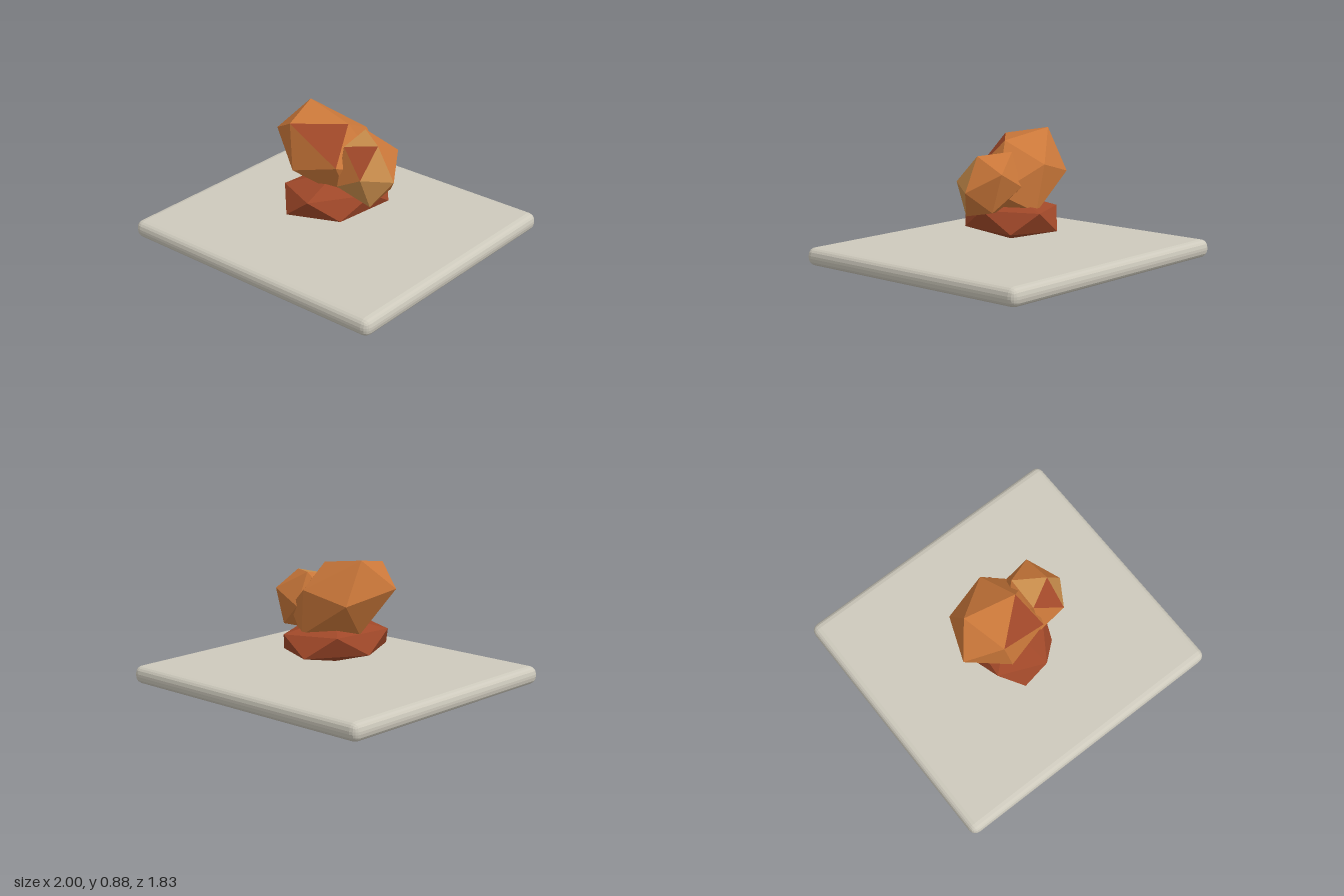
import * as THREE from 'three';
import { RoundedBoxGeometry } from 'three/addons/geometries/RoundedBoxGeometry.js';

function material(name, color) {
  const m = new THREE.MeshStandardMaterial({ color });
  m.name = name;
  return m;
}

// Skewed icosahedron: one pole and the five points around it; the other six are mirrored through the centre.
// paint: one material index per face, in the order caps, sides, mirrored caps, mirrored sides.
function rockGeometry(centre, pole, ring, paint) {
  const c = new THREE.Vector3(...centre);
  const local = (p) => new THREE.Vector3(...p).sub(c);
  const top = local(pole);
  const r = ring.map(local);
  const faces = [];
  for (const s of [1, -1]) {
    const at = (v, k) => v.clone().multiplyScalar(k);
    for (let i = 0; i < 5; i++) faces.push([at(top, s), at(r[i], s), at(r[(i + 1) % 5], s)]);
    for (let i = 0; i < 5; i++) faces.push([at(r[i], s), at(r[(i + 1) % 5], s), at(r[(i + 3) % 5], -s)]);
  }
  const points = [];
  const geometry = new THREE.BufferGeometry();
  faces.forEach(([a, b, d], i) => {
    // keep every face turned outward
    const normal = b.clone().sub(a).cross(d.clone().sub(a));
    points.push(...(normal.dot(a) > 0 ? [a, b, d] : [a, d, b]));
    geometry.addGroup(i * 3, 3, Number(paint[i]));
  });
  geometry.setFromPoints(points);
  geometry.computeVertexNormals();
  geometry.translate(c.x, c.y, c.z);
  return geometry;
}

export function createModel() {
  const model = new THREE.Group();
  model.name = 'rockPile';
  const stone = material('paleStone', 0xcdc9bc);
  const rockColours = [material('rust', 0xa04829), material('orange', 0xcb783a), material('ochre', 0xc78c4b)];

  function add(name, geometry, mat) {
    const mesh = new THREE.Mesh(geometry, mat);
    mesh.name = name;
    model.add(mesh);
  }

  // Base slab with faceted round edges
  const slab = new RoundedBoxGeometry(2, 0.122, 1.83, 2, 0.052);
  slab.computeVertexNormals();
  slab.translate(0, 0.061, 0);
  add('baseSlab', slab, stone);

  // Flat bottom rock, its ring lying on a slanted ellipse
  const ring = [];
  for (let i = 0; i < 5; i++) {
    const a = THREE.MathUtils.degToRad(80 - 72 * i);
    ring.push([0.293 * Math.cos(a), 0.379, 0.378 * Math.cos(a - THREE.MathUtils.degToRad(99))]);
  }
  add('bottomRock', rockGeometry([0, 0.31, 0], [0, 0.465, 0], ring, '0'.repeat(20)), rockColours);

  // Large upper rock
  add('largeRock', rockGeometry([-0.075, 0.597, -0.02], [-0.29, 0.88, -0.075], [
    [-0.30, 0.60, -0.23], [-0.435, 0.69, 0.10], [-0.205, 0.825, 0.23], [0.08, 0.82, -0.02], [0.01, 0.68, -0.30],
  ], '11111' + '11011' + '11011' + '11101'), rockColours);

  // Small rock at the side
  add('smallRock', rockGeometry([0.24, 0.55, -0.025], [0.46, 0.515, -0.02], [
    [0.335, 0.74, -0.01], [0.337, 0.56, 0.172], [0.345, 0.34, 0.08], [0.34, 0.385, -0.145], [0.335, 0.64, -0.222],
  ], '22111' + '02111' + '11111' + '11211'), rockColours);

  return model;
}
